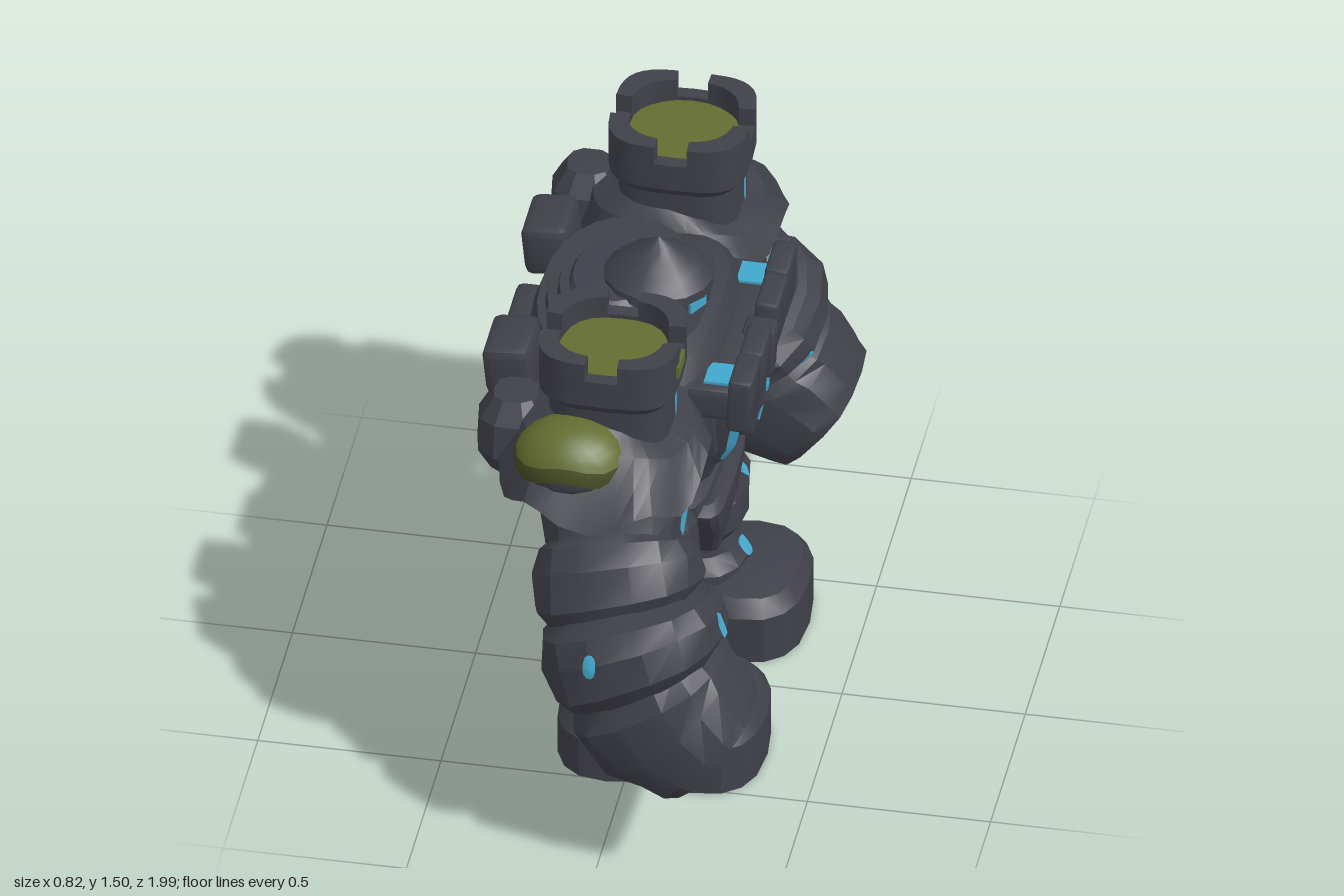
import * as THREE from 'three';
import { toCreasedNormals } from 'three/addons/utils/BufferGeometryUtils.js';
import { RoundedBoxGeometry } from 'three/addons/geometries/RoundedBoxGeometry.js';

const V = (x, y, z) => new THREE.Vector3(x, y, z);
const line = (a, b) => new THREE.LineCurve3(V(...a), V(...b));

// Point on a unit superellipse: e = 2 is round, larger is squarer
function superPoint(a, e) {
  const f = (v) => Math.sign(v) * Math.pow(Math.abs(v), 2 / e);
  return [f(Math.cos(a)), f(Math.sin(a))];
}

// Sweeps a closed section along a curve; profile rows are [t, radius along x, radius across]
function sweep(curve, profile, { n = 16, e = 2.5, rough = 0, warp } = {}) {
  const pos = [], idx = [];
  profile.forEach(([t, ru, rv = ru], i) => {
    const c = curve.getPointAt(t), T = curve.getTangentAt(t);
    const u = V(1, 0, 0).addScaledVector(T, -T.x).normalize();
    const v = T.clone().cross(u);
    for (let j = 0; j < n; j++) {
      const a = (j / n) * Math.PI * 2, [cu, cv] = superPoint(a, e);
      const k = 1 + rough * Math.sin(3 * a + i * 2.1) * Math.cos(2 * a + i);
      const p = c.clone().addScaledVector(u, cu * ru * k).addScaledVector(v, cv * rv * k);
      if (warp) warp(p, a, t);
      pos.push(p.x, p.y, p.z);
      if (i) {
        const j2 = (j + 1) % n, A = (i - 1) * n, B = i * n;
        idx.push(A + j, A + j2, B + j2, A + j, B + j2, B + j);
      }
    }
  });
  const g = new THREE.BufferGeometry();
  g.setAttribute('position', new THREE.Float32BufferAttribute(pos, 3));
  g.setIndex(idx);
  return g;
}

// Vertical sweep; rows are [y, radius x, radius z]
function stack(x, z, rows, opt) {
  const ys = rows.map((r) => r[0]), lo = Math.min(...ys), hi = Math.max(...ys);
  return sweep(line([x, lo, z], [x, hi, z]), rows.map(([y, a, b]) => [(y - lo) / (hi - lo), a, b]), opt);
}

function block(w, h, d, x, y, z, tilt = 0) {
  return new RoundedBoxGeometry(w, h, d, 1, Math.min(w, h, d) * 0.18).rotateZ(tilt).translate(x, y, z);
}

// Band of the shoulder dome between two polar angles, with its rim arched up on the outer side
function domeBand(t0, t1, arch, size) {
  const g = new THREE.SphereGeometry(1, 18, 6, 0, Math.PI * 2, t0, t1 - t0), p = g.attributes.position;
  for (let i = 0; i < p.count; i++) {
    const th = Math.acos(THREE.MathUtils.clamp(p.getY(i), -1, 1)), ph = Math.atan2(p.getZ(i), p.getX(i));
    const t = th * (1 - arch * Math.max(0, Math.sin(ph)) ** 3);
    p.setXYZ(i, Math.sin(t) * Math.cos(ph), Math.cos(t), Math.sin(t) * Math.sin(ph));
  }
  return g.scale(0.155 * size, 0.11 * size, 0.125 * size).rotateX(0.35).translate(-0.11, 1.195, 0.69);
}

function mirrorZ(geo) {
  const g = (geo.index ? geo.toNonIndexed() : geo.clone()).scale(1, 1, -1), p = g.attributes.position;
  for (let i = 0; i < p.count; i += 3) {
    const a = V().fromBufferAttribute(p, i), b = V().fromBufferAttribute(p, i + 1);
    p.setXYZ(i, b.x, b.y, b.z);
    p.setXYZ(i + 1, a.x, a.y, a.z);
  }
  return g;
}

export function createModel() {
  const group = new THREE.Group();
  const material = (name, color, side = THREE.FrontSide) =>
    Object.assign(new THREE.MeshStandardMaterial({ color, side }), { name });
  const stone = material('stone', 0x40404a), moss = material('moss', 0x636d30);
  const darkMoss = material('darkMoss', 0x474e24), glow = material('glow', 0x42a8cc, THREE.DoubleSide);

  const add = (name, geo, mat = stone) => {
    geo.deleteAttribute('uv');
    geo.deleteAttribute('normal');
    const mesh = new THREE.Mesh(toCreasedNormals(geo, 0.45), mat);
    mesh.name = name;
    group.add(mesh);
  };
  const pair = (name, geo, mat) => {
    const other = mirrorZ(geo);
    add(name + 'PosZ', geo, mat);
    add(name + 'NegZ', other, mat);
  };

  // Torso, stepped back shell and hips
  const spine = new THREE.CatmullRomCurve3([V(-0.03, 0.68, 0), V(-0.03, 0.9, 0), V(-0.05, 1.1, 0), V(-0.07, 1.235, 0)]);
  add('torso', sweep(spine, [
    [0, 0, 0], [0, 0.17, 0.19], [0.2, 0.21, 0.2], [0.38, 0.26, 0.31], [0.65, 0.28, 0.39],
    [0.87, 0.26, 0.4], [0.96, 0.24, 0.35], [1, 0.21, 0.3], [1, 0, 0]], { n: 20, e: 2.7, rough: 0.02 }));
  add('backMuscle', stack(-0.2, 0, [[0.76, 0, 0], [0.78, 0.08, 0.14], [0.86, 0.15, 0.23], [1.0, 0.165, 0.3],
    [1.14, 0.14, 0.32], [1.24, 0, 0]], { e: 2.5 }));
  add('backShell', stack(-0.12, 0, [[1.2, 0.22, 0.34], [1.26, 0.2, 0.33], [1.26, 0.18, 0.28], [1.285, 0.175, 0.27],
    [1.285, 0.15, 0.22], [1.305, 0.145, 0.2], [1.305, 0.12, 0.16], [1.32, 0.11, 0.14], [1.325, 0, 0]], { n: 24, e: 2.2 }));
  add('pelvis', stack(-0.01, 0, [[0.5, 0, 0], [0.5, 0.12, 0.09], [0.6, 0.17, 0.16], [0.68, 0.19, 0.25],
    [0.73, 0.18, 0.27], [0.75, 0.15, 0.22], [0.75, 0, 0]], { e: 4 }));
  add('loinPlate', stack(0.12, 0, [[0.49, 0, 0], [0.49, 0.06, 0.09], [0.58, 0.08, 0.14], [0.66, 0.09, 0.21],
    [0.69, 0.09, 0.22], [0.71, 0.07, 0.19], [0.71, 0, 0]], { e: 5 }));
  add('tailPlate', block(0.13, 0.2, 0.2, -0.245, 0.615, 0, 0.12));
  add('spinePlate', block(0.11, 0.26, 0.2, -0.35, 1.05, 0));
  pair('backBlock', block(0.13, 0.15, 0.19, -0.345, 1.21, 0.28, 0.1));

  // Chest
  pair('chestMuscle', stack(0.13, 0.115, [[0.82, 0, 0], [0.83, 0.07, 0.05], [0.9, 0.11, 0.085], [1.0, 0.14, 0.115],
    [1.08, 0.14, 0.13], [1.12, 0, 0]], { e: 2.8, n: 20 }));
  add('breastbone', stack(0.22, 0, [[0.82, 0, 0], [0.84, 0.04, 0.02], [1.0, 0.075, 0.075], [1.08, 0.075, 0.1], [1.08, 0, 0]], { e: 2.5, n: 8 }));
  add('chestLedge', block(0.14, 0.1, 0.62, 0.195, 1.135, 0));
  pair('battlementInner', block(0.065, 0.155, 0.155, 0.283, 1.155, 0.113, -0.05));
  pair('battlementOuter', block(0.065, 0.165, 0.15, 0.281, 1.155, 0.262, -0.05));
  add('battlementKeystone', block(0.09, 0.15, 0.09, 0.273, 1.12, 0, -0.05));
  pair('collarGlow', new THREE.BoxGeometry(0.075, 0.009, 0.09).translate(0.213, 1.188, 0.235), glow);

  // Hooded head
  add('head', stack(0, 0, [[1.18, 0.11, 0.11], [1.31, 0.12, 0.105], [1.31, 0.15, 0.145], [1.335, 0.15, 0.14],
    [1.37, 0.115, 0.108], [1.4, 0.07, 0.062], [1.425, 0.035, 0.03], [1.45, 0, 0]], { n: 14, e: 2 }));
  add('noseGuard', block(0.05, 0.11, 0.035, 0.115, 1.27, 0));
  pair('eye', new THREE.BoxGeometry(0.009, 0.03, 0.064).rotateY(-0.5).translate(0.117, 1.284, 0.06), glow);

  // Arms: upper arm, two bands and a hollow cuff on one bent path
  const arm = new THREE.CatmullRomCurve3([V(-0.03, 1.2, 0.5), V(-0.02, 1.0, 0.575), V(0.01, 0.84, 0.68),
    V(0.075, 0.65, 0.75), V(0.165, 0.49, 0.78), V(0.305, 0.375, 0.785)]);
  const armParts = {
    upperArm: [[0, 0.16], [0.1, 0.2, 0.18], [0.24, 0.2, 0.165], [0.36, 0.18, 0.15]],
    elbowBand: [[0.32, 0.15], [0.35, 0.205, 0.175], [0.4, 0.23, 0.2], [0.48, 0.235, 0.205], [0.52, 0.2, 0.17]],
    forearmBand: [[0.5, 0.17], [0.54, 0.235, 0.225], [0.6, 0.255, 0.25], [0.68, 0.25, 0.245], [0.73, 0.2, 0.185]],
    cuff: [[0.69, 0.18], [0.77, 0.215], [0.87, 0.21, 0.215], [0.97, 0.18, 0.21], [1, 0.165, 0.195],
      [1, 0.135, 0.155], [0.93, 0.12, 0.135], [0.92, 0, 0]],
  };
  const heelOfHand = (p, a, t) => {
    if (t > 0.69) p.x -= 0.06 * Math.max(0, -Math.cos(a)) * Math.sin(Math.PI * (t - 0.69) / 0.31);
  };
  for (const [name, rows] of Object.entries(armParts)) pair(name, sweep(arm, rows, { n: 14, rough: 0.04, warp: heelOfHand }));
  pair('cuffGlow', sweep(arm, [[0.945, 0.075, 0.07], [0.94, 0, 0]], { n: 13, rough: 0.5 }), glow);

  // Shoulders: draped mantle, moss cap and rear lump
  pair('mantle', sweep(line([-0.04, 1.29, 0.5], [-0.04, 1.14, 0.5]),
    [[0, 0.16], [0.25, 0.23, 0.21], [0.65, 0.255, 0.26], [1, 0.28, 0.295], [1, 0.25, 0.26], [0.6, 0.19, 0.19]], {
      n: 32, warp: (p, a, t) => {
        p.z += 0.06 * t;
        p.y += t * (0.028 * Math.cos(6 * a) - 0.14 * Math.max(0, p.z - 0.5));
        p.y -= (1 - t) * 0.07 * Math.max(0, Math.cos(a));
      } }));
  pair('shoulderDome', domeBand(0, Math.PI * 0.7, 0, 0.96));
  pair('shoulderMoss', domeBand(0, Math.PI * 0.4, 0.35, 1), moss);
  pair('shoulderMossRim', domeBand(Math.PI * 0.4, Math.PI * 0.58, 0.35, 1), darkMoss);
  pair('shoulderLump', stack(-0.29, 0.53, [[1.03, 0, 0], [1.05, 0.07, 0.07], [1.12, 0.105, 0.11], [1.22, 0.1, 0.1],
    [1.28, 0.06, 0.06], [1.285, 0, 0]], { n: 10, e: 2.6 }));

  // Shoulder towers with four corner merlons
  const tx = -0.03, tz = 0.505;
  pair('tower', stack(tx, tz, [[1.12, 0.165, 0.15], [1.33, 0.165, 0.15], [1.365, 0.19, 0.18], [1.445, 0.19, 0.18],
    [1.445, 0.15, 0.14], [1.425, 0.15, 0.14], [1.425, 0, 0]], { n: 24, e: 3.5 }));
  pair('towerMoss', stack(tx, tz, [[1.42, 0.147, 0.137], [1.436, 0.147, 0.137], [1.44, 0, 0]],
    { n: 24, e: 2.3, rough: 0.03 }), moss);
  add('towerMossSpill', new THREE.BoxGeometry(0.009, 0.034, 0.09).translate(0.16, 1.43, 0.535), moss);
  for (let q = 0; q < 4; q++) {
    const pts = [], steps = 8;
    for (let i = 0; i <= steps * 2 + 1; i++) {
      const outer = i <= steps, k = (outer ? i : steps * 2 + 1 - i) / steps, gap = outer ? 0.08 : 0.2;
      const [c, s] = superPoint(q * Math.PI / 2 + gap + (Math.PI / 2 - 2 * gap) * k, outer ? 3.5 : 2.6);
      pts.push(new THREE.Vector2(c * (outer ? 0.19 : 0.148), s * (outer ? 0.18 : 0.138)));
    }
    const g = new THREE.ExtrudeGeometry(new THREE.Shape(pts), { depth: 0.077, bevelEnabled: false });
    pair('merlon' + (q + 1), g.rotateX(-Math.PI / 2).translate(tx, 1.423, tz));
  }

  // Legs and two-lobed feet
  const leg = new THREE.CatmullRomCurve3([V(-0.01, 0.74, 0.235), V(-0.01, 0.5, 0.295), V(0, 0.32, 0.305), V(0, 0.14, 0.305)]);
  const legParts = {
    thigh: [[0, 0, 0], [0, 0.13, 0.09], [0.07, 0.16, 0.135], [0.25, 0.175, 0.145], [0.4, 0.17, 0.14], [0.5, 0.15, 0.13]],
    kneeBand: [[0.4, 0.14, 0.12], [0.44, 0.18, 0.155], [0.52, 0.195, 0.175], [0.66, 0.19, 0.18], [0.74, 0.15, 0.15]],
    shin: [[0.7, 0.15, 0.14], [0.8, 0.16, 0.14], [0.87, 0.19, 0.165], [1, 0.19, 0.175]],
  };
  for (const [name, rows] of Object.entries(legParts)) pair(name, sweep(leg, rows, { n: 14, rough: 0.03 }));
  pair('heel', stack(-0.05, 0.305, [[0, 0, 0], [0, 0.16, 0.205], [0.12, 0.16, 0.205], [0.16, 0.13, 0.18], [0.17, 0, 0]], { e: 2.5 }));
  pair('toe', stack(0.185, 0.305, [[0, 0, 0], [0, 0.17, 0.215], [0.14, 0.17, 0.215], [0.185, 0.145, 0.18],
    [0.202, 0.07, 0.1], [0.206, 0, 0]], { e: 2.6 }));

  // Glowing cracks: tapered strips laid on the stone along a direction
  const targets = group.children.filter((m) => m.material === stone);
  const crack = (dir, a, b, w, taper = 0.25) => {
    const d = V(...dir), A = V(...a), B = V(...b), N = 8, pos = [], idx = [];
    const side = B.clone().sub(A).cross(d).normalize();
    for (let i = 0; i <= N; i++) {
      const half = w * Math.max(0.3, Math.pow(Math.sin((i / N) * Math.PI), taper));
      for (const s of [-1, 0, 1]) {
        const p = A.clone().lerp(B, i / N).addScaledVector(side, s * half);
        const hit = new THREE.Raycaster(p.clone().addScaledVector(d, -3), d).intersectObjects(targets)[0];
        if (hit) p.copy(hit.point);
        p.addScaledVector(d, -0.007);
        pos.push(p.x, p.y, p.z);
      }
      if (i) for (const k of [0, 1]) {
        const m = (i - 1) * 3 + k;
        idx.push(m, m + 1, m + 4, m, m + 4, m + 3);
      }
    }
    const g = new THREE.BufferGeometry();
    g.setAttribute('position', new THREE.Float32BufferAttribute(pos, 3));
    g.setIndex(idx);
    return g;
  };
  const front = [-1, 0, 0];
  pair('towerCrack', crack(front, [0.14, 1.235, 0.5], [0.14, 1.335, 0.5], 0.014), glow);
  pair('armCrack', crack(front, [0.16, 0.93, 0.63], [0.16, 1.1, 0.56], 0.021), glow);
  pair('chestCrack', crack(front, [0.27, 0.85, 0.158], [0.27, 1.06, 0.213], 0.013), glow);
  pair('thighCrack', crack(front, [0.17, 0.465, 0.31], [0.17, 0.58, 0.295], 0.022), glow);
  pair('shinCrack', crack(front, [0.2, 0.215, 0.295], [0.2, 0.268, 0.295], 0.024), glow);
  pair('elbowCrack', crack([0, 0, -1], [-0.005, 0.69, 1], [-0.005, 0.75, 1], 0.018), glow);
  add('forearmCrack', crack(front, [0.3, 0.7, 0.755], [0.3, 0.78, 0.755], 0.016), glow);
  add('forearmCrackSmall', crack(front, [0.3, 0.63, -0.6], [0.3, 0.68, -0.6], 0.01), glow);
  add('chestGem', crack(front, [0.3, 0.98, 0], [0.3, 1.04, 0], 0.018), glow);
  add('chestGemLower', crack(front, [0.27, 0.88, 0], [0.27, 0.93, 0], 0.012), glow);
  add('backGem', crack([1, 0, 0], [-0.4, 0.975, 0], [-0.4, 1.125, 0], 0.06, 0.5), glow);

  return group;
}
